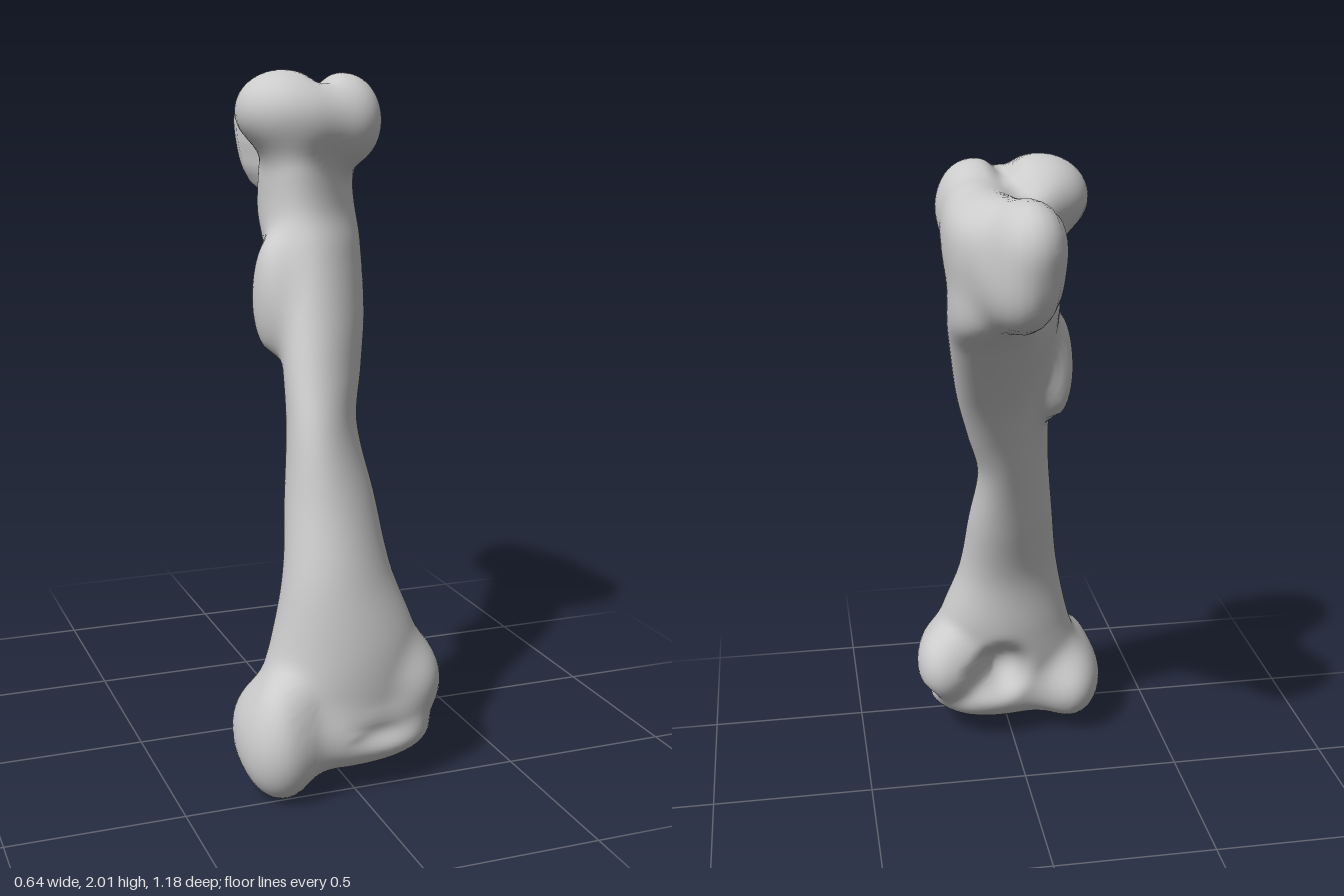
import * as THREE from 'three';

// Shaft sections: y, xMin, xMax, zMin, zMax, diagonal skew
const SECTIONS = [
  [0.0, -0.25, 0.19, 0.29, 0.52, 0],
  [0.2, -0.27, 0.25, 0.24, 0.54, 0],
  [0.4, -0.205, 0.235, 0.2, 0.54, -0.05],
  [0.6, -0.165, 0.17, 0.185, 0.505, -0.2],
  [0.8, -0.14, 0.145, 0.12, 0.445, -0.28],
  [1.0, -0.12, 0.125, 0.05, 0.385, -0.45],
  [1.15, -0.11, 0.165, -0.015, 0.325, -0.47],
  [1.3, -0.1, 0.205, -0.105, 0.265, -0.46],
  [1.5, -0.1, 0.24, -0.28, 0.18, -0.42],
  [1.6, -0.095, 0.255, -0.39, 0.135, -0.45],
  [1.75, -0.09, 0.25, -0.4, 0.125, -0.53],
  [1.95, -0.08, 0.24, -0.38, 0.115, -0.55],
];

// Rounded masses blended onto the shaft: centre, radii
const MASSES = [
  [[-0.04, 1.878, 0.0], [0.137, 0.117, 0.148]],   // joint head
  [[0.05, 1.85, 0.03], [0.1, 0.09, 0.115]],       // bridge beside the head
  [[0.15, 1.85, 0.0], [0.105, 0.135, 0.143]],     // front tubercle
  [[0.155, 1.81, -0.18], [0.1, 0.135, 0.16]],     // side tubercle
  [[0.13, 1.81, -0.33], [0.09, 0.125, 0.13]],     // bridge to rear tubercle
  [[0.07, 1.8, -0.44], [0.093, 0.143, 0.138]],    // rear tubercle
  [[0.06, 1.85, -0.49], [0.07, 0.09, 0.09]],      // rear tubercle tip
  [[0.08, 1.71, -0.43], [0.08, 0.105, 0.13]],     // rear tubercle base
  [[-0.105, 1.35, 0.09], [0.053, 0.155, 0.08]],   // muscle bump
  [[-0.215, 0.165, 0.48], [0.085, 0.155, 0.1]],   // large condyle, front
  [[-0.21, 0.12, 0.45], [0.09, 0.118, 0.11]],     // large condyle, base
  [[-0.2, 0.15, 0.34], [0.1, 0.12, 0.135]],       // large condyle, rear
  [[-0.05, 0.15, 0.4], [0.16, 0.11, 0.137]],      // condyle bridge
  [[0.1, 0.145, 0.38], [0.16, 0.087, 0.163]],     // small condyle
  [[0.19, 0.27, 0.36], [0.108, 0.11, 0.155]],     // epicondyle
  [[0.235, 0.27, 0.275], [0.065, 0.1, 0.085]],    // epicondyle, rear corner
];

// Hollows carved out afterwards
const HOLLOWS = [
  [[0.04, 0.26, 0.18], [0.085, 0.09, 0.12]],      // rear fossa
  [[0.1, 0.17, 0.57], [0.08, 0.02, 0.03]],        // front groove
  [[0.3, 0.165, 0.36], [0.035, 0.02, 0.14]],      // notch under epicondyle
  [[0.065, 1.985, -0.03], [0.02, 0.035, 0.09]],   // groove beside the head
  [[-0.115, 1.62, -0.28], [0.11, 0.25, 0.13]],    // flat behind the neck
];

// Cubic interpolation of the section table
function sectionAt(y) {
  const last = SECTIONS.length - 1;
  const yc = THREE.MathUtils.clamp(y, SECTIONS[0][0], SECTIONS[last][0]);
  let i = 0;
  while (i < last - 1 && yc > SECTIONS[i + 1][0]) i++;
  const p = SECTIONS[i], q = SECTIONS[i + 1];
  const o = SECTIONS[Math.max(i - 1, 0)], r = SECTIONS[Math.min(i + 2, last)];
  const h = q[0] - p[0], t = (yc - p[0]) / h;
  const v = [1, 2, 3, 4, 5].map((c) => {
    const m0 = ((q[c] - o[c]) / (q[0] - o[0])) * h;
    const m1 = ((r[c] - p[c]) / (r[0] - p[0])) * h;
    return (2 * t ** 3 - 3 * t * t + 1) * p[c] + (t ** 3 - 2 * t * t + t) * m0
      + (3 * t * t - 2 * t ** 3) * q[c] + (t ** 3 - t * t) * m1;
  });
  return {
    cx: (v[0] + v[1]) / 2, rx: (v[1] - v[0]) / 2,
    cz: (v[2] + v[3]) / 2, rz: (v[3] - v[2]) / 2, skew: v[4],
  };
}

// Smooth blends of distances
function smin(a, b, k) {
  const h = Math.max(k - Math.abs(a - b), 0) / k;
  return Math.min(a, b) - h * h * k * 0.25;
}
const smax = (a, b, k) => -smin(-a, -b, k);

function ellipsoid(x, y, z, [c, r]) {
  const px = (x - c[0]) / r[0], py = (y - c[1]) / r[1], pz = (z - c[2]) / r[2];
  const k0 = Math.hypot(px, py, pz);
  const k1 = Math.hypot(px / r[0], py / r[1], pz / r[2]);
  return k1 < 1e-6 ? -Math.min(...r) : (k0 * (k0 - 1)) / k1;
}

function shaft(x, y, z, s) {
  const u = (x - s.cx) / s.rx, w = (z - s.cz) / s.rz;
  const q = Math.sqrt((u * u - 2 * s.skew * u * w + w * w) / (1 - s.skew * s.skew));
  const side = (q - 1) * Math.min(s.rx, s.rz);
  return smax(smax(side, y - 1.9, 0.08), 0.08 - y, 0.08);
}

function boneField(x, y, z, s) {
  let d = shaft(x, y, z, s);
  for (const m of MASSES) d = smin(d, ellipsoid(x, y, z, m), 0.07);
  for (const h of HOLLOWS) d = smax(d, -ellipsoid(x, y, z, h), 0.05);
  return d;
}

// Outermost surface point on a ray from the bone's axis
function castOut(c, dx, dy, dz) {
  const f = (r) => {
    const y = c.y + dy * r;
    return boneField(c.x + dx * r, y, c.z + dz * r, dy === 0 ? c.s : sectionAt(y));
  };
  let hi = 0.7;
  while (hi > 0.02 && f(hi - 0.012) > 0) hi -= 0.012;
  let lo = hi - 0.012;
  for (let i = 0; i < 9; i++) {
    const mid = (lo + hi) / 2;
    if (f(mid) > 0) hi = mid; else lo = mid;
  }
  return [c.x + dx * lo, c.y + dy * lo, c.z + dz * lo];
}

function axisAt(y) {
  const s = sectionAt(y);
  return { x: s.cx, y, z: s.cz, s };
}

function boneGeometry() {
  const SEG = 96, CAP = 30, BODY = 84, Y0 = 0.2, Y1 = 1.8;
  // Rings: bottom cap fans up, body rises level, top cap fans to the pole
  const rings = [];
  for (let i = 1; i < CAP; i++) rings.push([Y0, (i / CAP - 1) * Math.PI / 2]);
  for (let i = 0; i <= BODY; i++) rings.push([Y0 + ((Y1 - Y0) * i) / BODY, 0]);
  for (let i = 1; i < CAP; i++) rings.push([Y1, (i / CAP) * Math.PI / 2]);

  const pos = [...castOut(axisAt(Y0), 0, -1, 0)];
  for (const [y, tilt] of rings) {
    const c = axisAt(y);
    for (let j = 0; j < SEG; j++) {
      const a = (j / SEG) * Math.PI * 2;
      pos.push(...castOut(c, Math.sin(a) * Math.cos(tilt), Math.sin(tilt), Math.cos(a) * Math.cos(tilt)));
    }
  }
  pos.push(...castOut(axisAt(Y1), 0, 1, 0));

  const index = [], top = pos.length / 3 - 1;
  const at = (i, j) => 1 + i * SEG + (j % SEG);
  for (let j = 0; j < SEG; j++) {
    index.push(0, at(0, j + 1), at(0, j));
    for (let i = 0; i < rings.length - 1; i++) {
      index.push(at(i, j), at(i, j + 1), at(i + 1, j + 1), at(i, j), at(i + 1, j + 1), at(i + 1, j));
    }
    index.push(top, at(rings.length - 1, j), at(rings.length - 1, j + 1));
  }
  const g = new THREE.BufferGeometry();
  g.setAttribute('position', new THREE.Float32BufferAttribute(pos, 3));
  g.setIndex(index);
  g.computeVertexNormals();
  return g;
}

export function createModel() {
  const group = new THREE.Group();
  group.name = 'limbBone';
  const bone = new THREE.Mesh(boneGeometry(), new THREE.MeshStandardMaterial({ color: 0xcccccc }));
  bone.name = 'bone';
  group.add(bone);
  return group;
}
